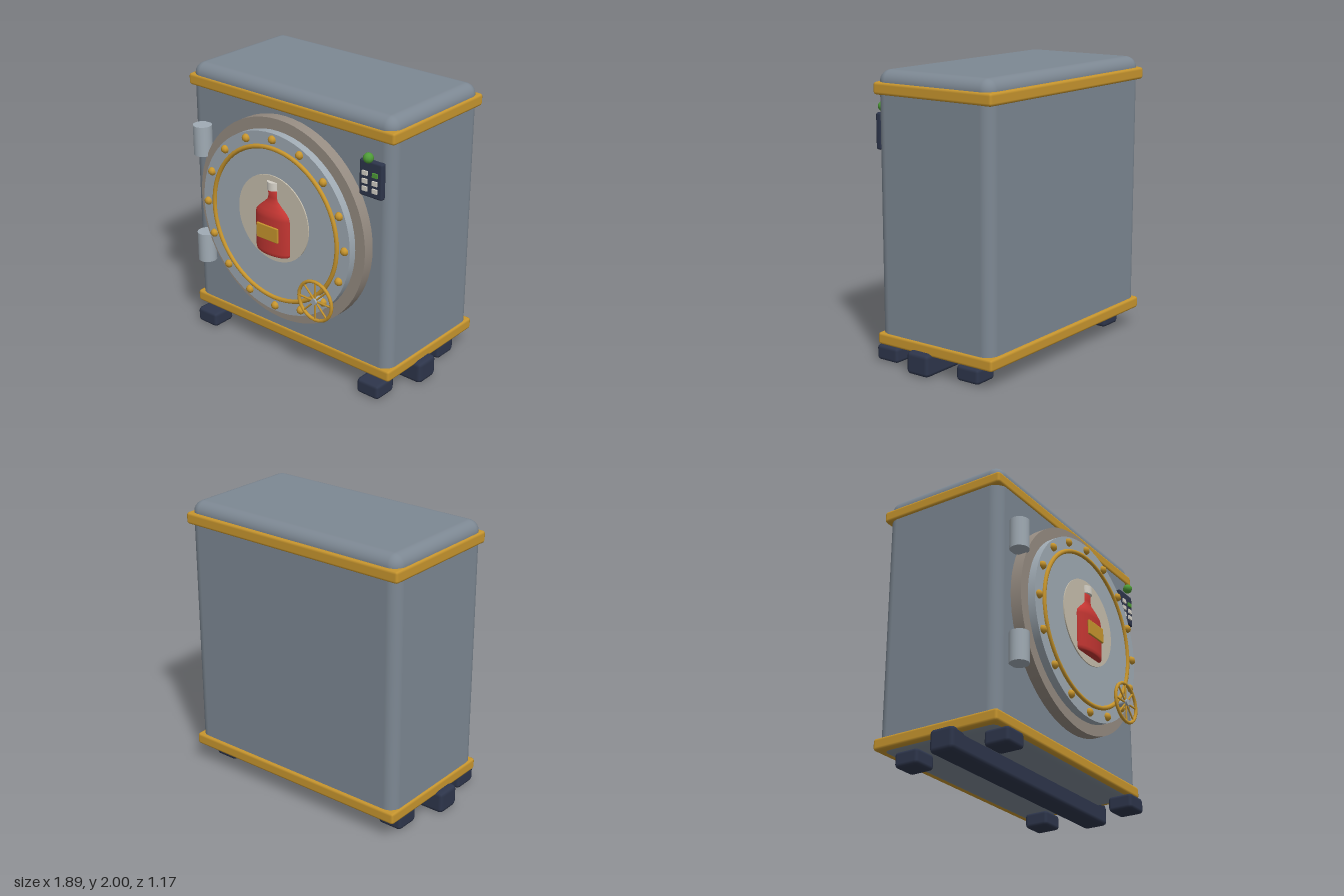
import * as THREE from 'three';
import { RoundedBoxGeometry } from 'three/addons/geometries/RoundedBoxGeometry.js';

const paint = (name, color) => {
  const m = new THREE.MeshStandardMaterial({ color });
  m.name = name;
  return m;
};

export function createModel() {
  const steel = paint('steel grey', 0x7d8893);
  const door = paint('door silver', 0xa0abb4);
  const stone = paint('taupe', 0x968c82);
  const gold = paint('gold', 0xc8962e);
  const navy = paint('navy', 0x2e364c);
  const cream = paint('cream', 0xc8c0ae);
  const red = paint('red', 0xc43632);
  const green = paint('green', 0x4f9d38);
  const pale = paint('pale', 0xd6d2c8);

  const model = new THREE.Group();
  model.name = 'safe';

  const add = (name, geometry, material, x, y, z, parent = model) => {
    const mesh = new THREE.Mesh(geometry, material);
    mesh.name = name;
    mesh.position.set(x, y, z);
    parent.add(mesh);
    return mesh;
  };
  const box = (w, h, d, r, seg = 1) => new RoundedBoxGeometry(w, h, d, seg, r);
  // Cylinder lying along z
  const disc = (r, depth, sides = 64) =>
    new THREE.CylinderGeometry(r, r, depth, sides).rotateX(Math.PI / 2);

  // Cabinet and its two gold bands
  add('cabinet', box(1.76, 1.88, 0.94, 0.08, 4), steel, 0, 1.06, -0.095);
  for (const [name, y] of [['lowerBand', 0.178], ['upperBand', 1.878]]) {
    add(name, box(1.79, 0.085, 0.97, 0.02), gold, 0, y, -0.1);
  }

  // Corner feet and central beam
  for (const x of [-0.757, 0.757]) {
    for (const z of [-0.347, 0.347]) {
      add('foot', box(0.185, 0.11, 0.185, 0.025), navy, x, 0.057, z);
    }
  }
  add('baseBeam', box(1.89, 0.16, 0.185, 0.03), navy, 0, 0.08, 0);

  // Round door in its frame
  const doorGroup = new THREE.Group();
  doorGroup.name = 'roundDoor';
  doorGroup.position.set(0, 1.078, 0);
  model.add(doorGroup);
  add('doorFrame', disc(0.737, 0.1), stone, 0, 0, 0.405, doorGroup);
  add('doorPlate', disc(0.657, 0.08), door, 0, 0, 0.47, doorGroup);
  add('doorRing', new THREE.TorusGeometry(0.552, 0.016, 8, 64), gold, 0, 0, 0.513, doorGroup);
  for (let i = 0; i < 16; i++) {
    const a = (i / 16) * Math.PI * 2;
    add('rivet', new THREE.SphereGeometry(0.03, 8, 6), gold,
      0.614 * Math.cos(a), 0.614 * Math.sin(a), 0.511, doorGroup);
  }

  // Emblem: flattened flask on a pale disc
  add('emblemDisc', disc(0.312, 0.012), cream, 0, 1.126, 0.512);
  const profile = [
    [0, 0.872], [0.132, 0.872], [0.146, 0.88], [0.152, 0.9], [0.152, 1.145],
    [0.145, 1.172], [0.12, 1.2], [0.075, 1.238], [0.05, 1.262], [0.042, 1.285],
    [0.042, 1.34], [0, 1.34],
  ].map(([x, y]) => new THREE.Vector2(x, y));
  const flask = add('flask', new THREE.LatheGeometry(profile, 24), red, 0, 0, 0.512);
  flask.scale.z = 0.4;
  const cap = add('flaskCap', new THREE.CylinderGeometry(0.044, 0.044, 0.058, 16), pale, 0, 1.368, 0.512);
  cap.scale.z = 0.8;
  add('flaskLabel', box(0.19, 0.108, 0.016, 0.006), gold, 0, 1.044, 0.575);

  // Spoked hand wheel
  const wheel = new THREE.Group();
  wheel.name = 'handWheel';
  wheel.position.set(0.41, 0.665, 0.566);
  model.add(wheel);
  add('wheelRim', new THREE.TorusGeometry(0.142, 0.012, 8, 24), gold, 0, 0, 0, wheel);
  for (let i = 0; i < 4; i++) {
    const spoke = add('spoke', new THREE.CylinderGeometry(0.007, 0.007, 0.28, 6), gold, 0, 0, 0, wheel);
    spoke.rotation.z = (i * Math.PI) / 4;
  }
  add('wheelHub', disc(0.023, 0.08, 12), door, 0, 0, -0.021, wheel);

  // Hinge barrels
  for (const y of [0.668, 1.487]) {
    add('hinge', new THREE.CylinderGeometry(0.067, 0.067, 0.216, 20), door, -0.725, y, 0.435);
  }

  // Keypad with buttons and signal lamp
  add('keypad', box(0.184, 0.25, 0.045, 0.015), navy, 0.742, 1.585, 0.398);
  [1.625, 1.57, 1.518].forEach((y, row) => {
    [0.702, 0.782].forEach((x, col) => {
      add('button', new THREE.BoxGeometry(0.04, 0.03, 0.014),
        row === 0 && col === 1 ? green : pale, x, y, 0.424);
    });
  });
  add('signalLamp', new THREE.SphereGeometry(0.035, 10, 8), green, 0.738, 1.739, 0.437);

  return model;
}
